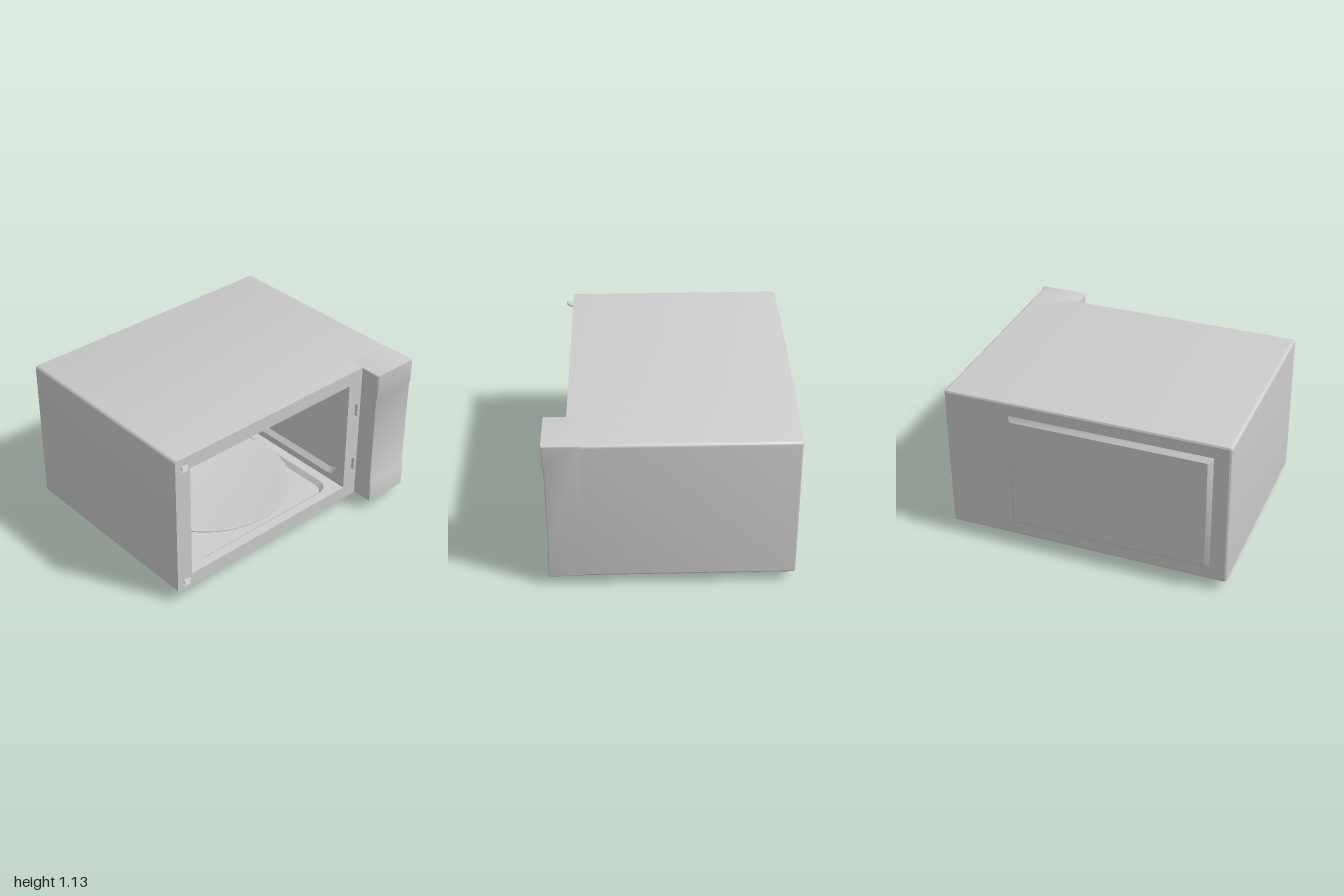
import * as THREE from 'three';
import { toCreasedNormals } from 'three/addons/utils/BufferGeometryUtils.js';

const mat = new THREE.MeshStandardMaterial({ color: 0xcccccc, side: THREE.DoubleSide });

function mesh(geo, name, x = 0, y = 0, z = 0) {
  const m = new THREE.Mesh(geo, mat);
  m.name = name;
  m.position.set(x, y, z);
  return m;
}

// Rounded rectangle as a loop of points, counter-clockwise
function rounded([x0, y0, x1, y1], r, inset = 0, n = 8) {
  x0 += inset; y0 += inset; x1 -= inset; y1 -= inset;
  r = Math.max(r - inset, 0.001);
  const centres = [[x1 - r, y1 - r], [x0 + r, y1 - r], [x0 + r, y0 + r], [x1 - r, y0 + r]];
  const pts = [];
  centres.forEach(([cx, cy], q) => {
    for (let i = 0; i <= n; i++) {
      const a = (q + i / n) * Math.PI / 2;
      pts.push(new THREE.Vector2(cx + r * Math.cos(a), cy + r * Math.sin(a)));
    }
  });
  return pts;
}

// Skin between loops placed at rising z; each ring is [points, z]
function loft(rings) {
  const pos = [];
  for (let i = 0; i + 1 < rings.length; i++) {
    const [A, za] = rings[i], [B, zb] = rings[i + 1];
    for (let j = 0; j < A.length; j++) {
      const k = (j + 1) % A.length;
      const a = [A[j].x, A[j].y, za], b = [A[k].x, A[k].y, za];
      const c = [B[k].x, B[k].y, zb], d = [B[j].x, B[j].y, zb];
      pos.push(...a, ...b, ...c, ...a, ...c, ...d);
    }
  }
  const g = new THREE.BufferGeometry();
  g.setAttribute('position', new THREE.Float32BufferAttribute(pos, 3));
  return toCreasedNormals(g, 0.6);
}

// Flat sheet with optional holes
function sheet(points, holes = []) {
  const s = new THREE.Shape(points);
  holes.forEach(h => s.holes.push(new THREE.Path(h)));
  return new THREE.ShapeGeometry(s);
}

// Sloped rim and sunken floor below z = 0
function recess(rect, r, depth, slope, name) {
  const g = new THREE.Group();
  g.name = name;
  const outer = rounded(rect, r), inner = rounded(rect, r, slope);
  g.add(mesh(loft([[outer, 0], [inner, -depth]]), name + 'Rim'));
  g.add(mesh(sheet(inner), name + 'Base', 0, 0, -depth));
  return g;
}

// Cavity wall in the xy plane with a pressed rounded panel
function pressedWall(rect, inner, r, depth, name) {
  const g = recess(inner, r, depth, 0.03, name);
  g.add(mesh(sheet(rounded(rect, 0.002, 0, 1), [rounded(inner, r)]), name + 'Sheet'));
  return g;
}

export function createModel() {
  const model = new THREE.Group();
  const opening = [-0.88, 0.17, 0.54, 1.03];
  const outline = [-1, 0.07, 1, 1.13];
  const front = 0.69, back = -0.81;

  // Outer case with softened edges
  const fillet = [0, 0.5, 1].map(t => {
    const a = t * Math.PI / 2;
    return [rounded(outline, 0.022, 0.018 * (1 - Math.sin(a))), back + 0.018 * (1 - Math.cos(a))];
  });
  model.add(mesh(loft([...fillet, [rounded(outline, 0.022), front]]), 'caseShell'));
  model.add(mesh(sheet(rounded(outline, 0.022, 0.018)), 'caseBack', 0, 0, back));

  // Front frame with cavity opening and two latch slots
  const slots = [0.28, 0.74].map(y => [0.61, y, 0.635, y + 0.11]);
  model.add(mesh(sheet(rounded(outline, 0.022),
    [rounded(opening, 0.002, 0, 1), ...slots.map(s => rounded(s, 0.008))]), 'frontFrame', 0, 0, front));
  for (const s of slots) {
    const slot = recess(s, 0.008, 0.04, 0, 'latchSlot');
    slot.position.z = front;
    model.add(slot);
  }

  // Raised back cover
  const cover = [-0.88, 0.17, 0.54, 1.03];
  model.add(mesh(loft([[rounded(cover, 0.004, 0.03, 1), -0.84], [rounded(cover, 0.004, 0, 1), back]]), 'backCoverRim'));
  model.add(mesh(sheet(rounded(cover, 0.004, 0.03, 1)), 'backCover', 0, 0, -0.84));

  // Cavity walls
  const deep = 0.69;
  const backWall = pressedWall(opening, [-0.84, 0.205, 0.5, 0.94], 0.12, 0.04, 'cavityBack');
  backWall.position.z = -deep;
  const side = [-deep, 0.17, deep, 1.03], sidePanel = [-0.62, 0.22, 0.6, 0.94];
  const leftWall = pressedWall(side, sidePanel, 0.1, 0.035, 'cavityRightSide');
  leftWall.rotation.y = Math.PI / 2;
  leftWall.position.x = -0.88;
  const rightWall = pressedWall(side, [-0.6, 0.22, 0.62, 0.94], 0.1, 0.035, 'cavityLeftSide');
  rightWall.rotation.y = -Math.PI / 2;
  rightWall.position.x = 0.54;
  const floor = pressedWall([-0.88, -deep, 0.54, deep], [-0.81, -0.62, 0.47, 0.61], 0.1, 0.03, 'cavityFloor');
  floor.rotation.x = -Math.PI / 2;
  floor.position.y = 0.17;
  const ceiling = mesh(new THREE.PlaneGeometry(1.42, 2 * deep), 'cavityCeiling', -0.17, 1.03, 0);
  ceiling.rotation.x = Math.PI / 2;
  model.add(backWall, leftWall, rightWall, floor, ceiling);

  // Turntable: glass plate, roller ring, three wheels and hub
  const turntable = new THREE.Group();
  turntable.name = 'turntable';
  turntable.position.set(-0.17, 0, 0.01);
  const plate = [[0, 0.197], [0.52, 0.197], [0.6, 0.21], [0.6, 0.217], [0.585, 0.217], [0.52, 0.204], [0, 0.204]]
    .map(p => new THREE.Vector2(...p));
  turntable.add(mesh(toCreasedNormals(new THREE.LatheGeometry(plate, 72), 0.5), 'plate'));
  const ring = new THREE.TorusGeometry(0.28, 0.01, 8, 48).rotateX(Math.PI / 2);
  turntable.add(mesh(ring, 'rollerRing', 0, 0.168, 0));
  turntable.add(mesh(new THREE.CylinderGeometry(0.04, 0.05, 0.056, 24), 'hub', 0, 0.168, 0));
  for (let i = 0; i < 3; i++) {
    const arm = new THREE.Group();
    arm.name = 'rollerArm';
    arm.rotation.y = 0.3 + i * Math.PI * 2 / 3;
    arm.add(mesh(new THREE.BoxGeometry(0.28, 0.012, 0.03), 'spoke', 0.14, 0.168, 0));
    arm.add(mesh(new THREE.CylinderGeometry(0.027, 0.027, 0.025, 20).rotateZ(Math.PI / 2), 'wheel', 0.305, 0.168, 0));
    turntable.add(arm);
  }
  model.add(turntable);

  // Control panel with a slightly hollowed front, swept along x
  const bv = 0.01;
  const profile = new THREE.Shape([[0.6, 0.08], [0.83, 0.08], [0.83, 0.23], [0.822, 0.25], [0.822, 0.94],
    [0.83, 0.96], [0.83, 1.12], [0.6, 1.12]].map(p => new THREE.Vector2(-p[0], p[1])));
  const panel = new THREE.ExtrudeGeometry(profile, {
    depth: 0.34 - 2 * bv, bevelSize: bv, bevelThickness: bv, bevelSegments: 3,
  }).rotateY(Math.PI / 2);
  model.add(mesh(toCreasedNormals(panel, 0.6), 'controlPanel', 0.66 + bv, 0, 0));

  // Door hinge hooks
  const hook = new THREE.Shape([[-0.95, 0.68], [-0.91, 0.68], [-0.905, 0.71], [-0.95, 0.745], [-0.99, 0.745],
    [-0.985, 0.735], [-0.965, 0.725]].map(p => new THREE.Vector2(...p)));
  for (const y of [0.152, 1.07]) {
    const g = new THREE.ExtrudeGeometry(hook, { depth: 0.01, bevelEnabled: false }).rotateX(Math.PI / 2);
    model.add(mesh(g, 'hingeHook', 0, y + 0.005, 0));
  }

  // Base rails with tapered feet
  for (const s of [-1, 1]) {
    const top = [[0.9, 0.8], [0.74, 0.8], [0.74, -0.7], [0.9, -0.7]];
    const low = [[0.86, 0.7], [0.78, 0.7], [0.78, -0.66], [0.86, -0.66]];
    const [a, b] = [low, top].map(l => l.map(p => new THREE.Vector2(p[0] * s, p[1])));
    if (s < 0) { a.reverse(); b.reverse(); }
    const rail = new THREE.Group();
    rail.name = 'baseRail';
    rail.rotation.x = -Math.PI / 2;
    rail.add(mesh(loft([[a, 0.042], [b, 0.072]]), 'railSides'), mesh(sheet(a), 'railBottom', 0, 0, 0.042));
    model.add(rail);
    for (const z of [0.6, -0.64]) {
      model.add(mesh(new THREE.CylinderGeometry(0.031, 0.021, 0.045, 24), 'foot', 0.82 * s, 0.0225, z));
    }
  }
  return model;
}
